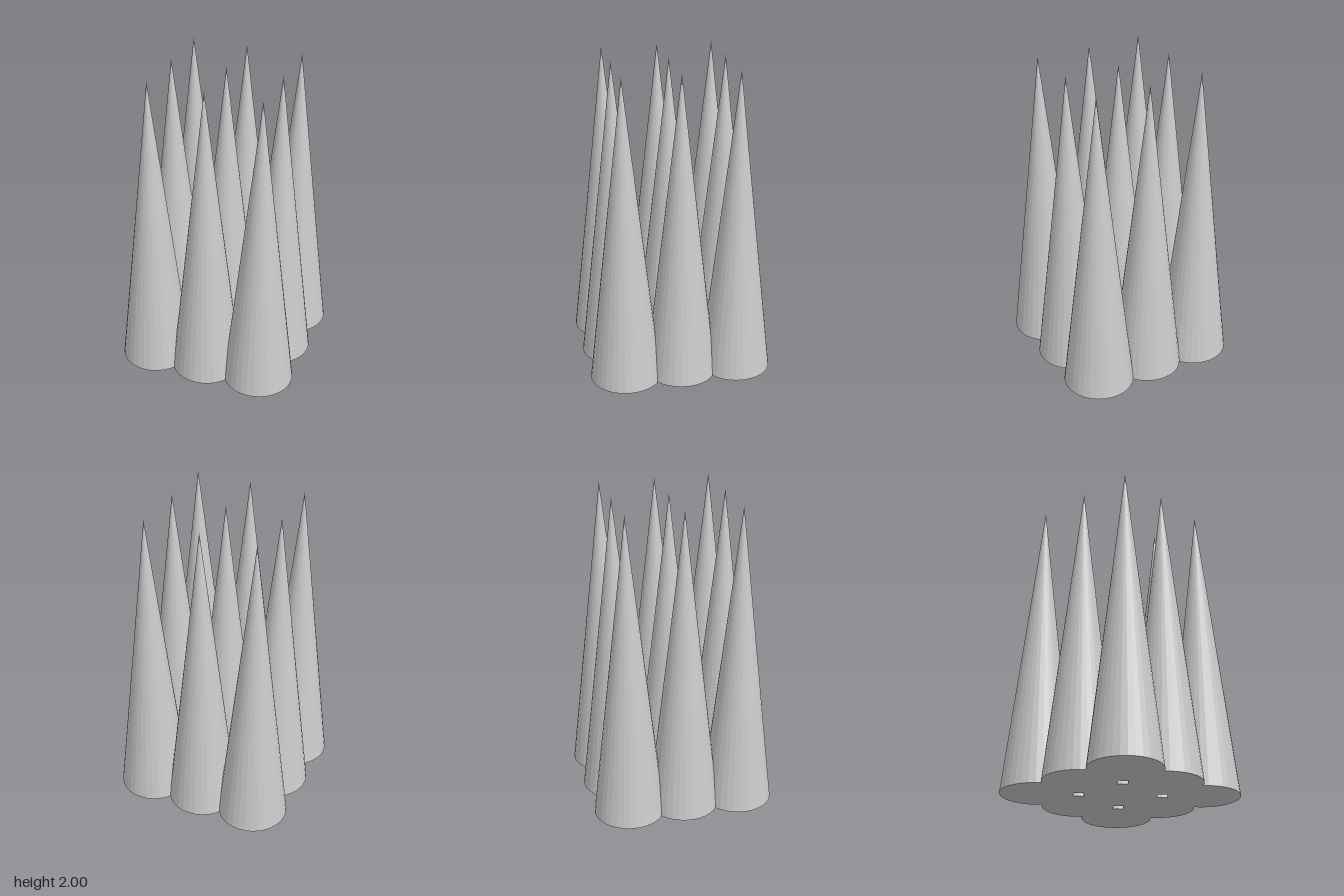
import * as THREE from 'three';

const HEIGHT = 2;
const RADIUS = 0.227;
const SPACING = 0.364;

export function createModel() {
  const model = new THREE.Group();
  model.name = 'spikeCluster';

  const material = new THREE.MeshStandardMaterial({ color: 0xcccccc, flatShading: true });
  const geometry = new THREE.ConeGeometry(RADIUS, HEIGHT, 32);
  geometry.translate(0, HEIGHT / 2, 0);

  // Three by three grid of overlapping tall cones
  for (let row = -1; row <= 1; row++) {
    for (let column = -1; column <= 1; column++) {
      const spike = new THREE.Mesh(geometry, material);
      spike.name = `spikeRow${row + 2}Column${column + 2}`;
      spike.position.set(column * SPACING, 0, row * SPACING);
      model.add(spike);
    }
  }
  return model;
}
